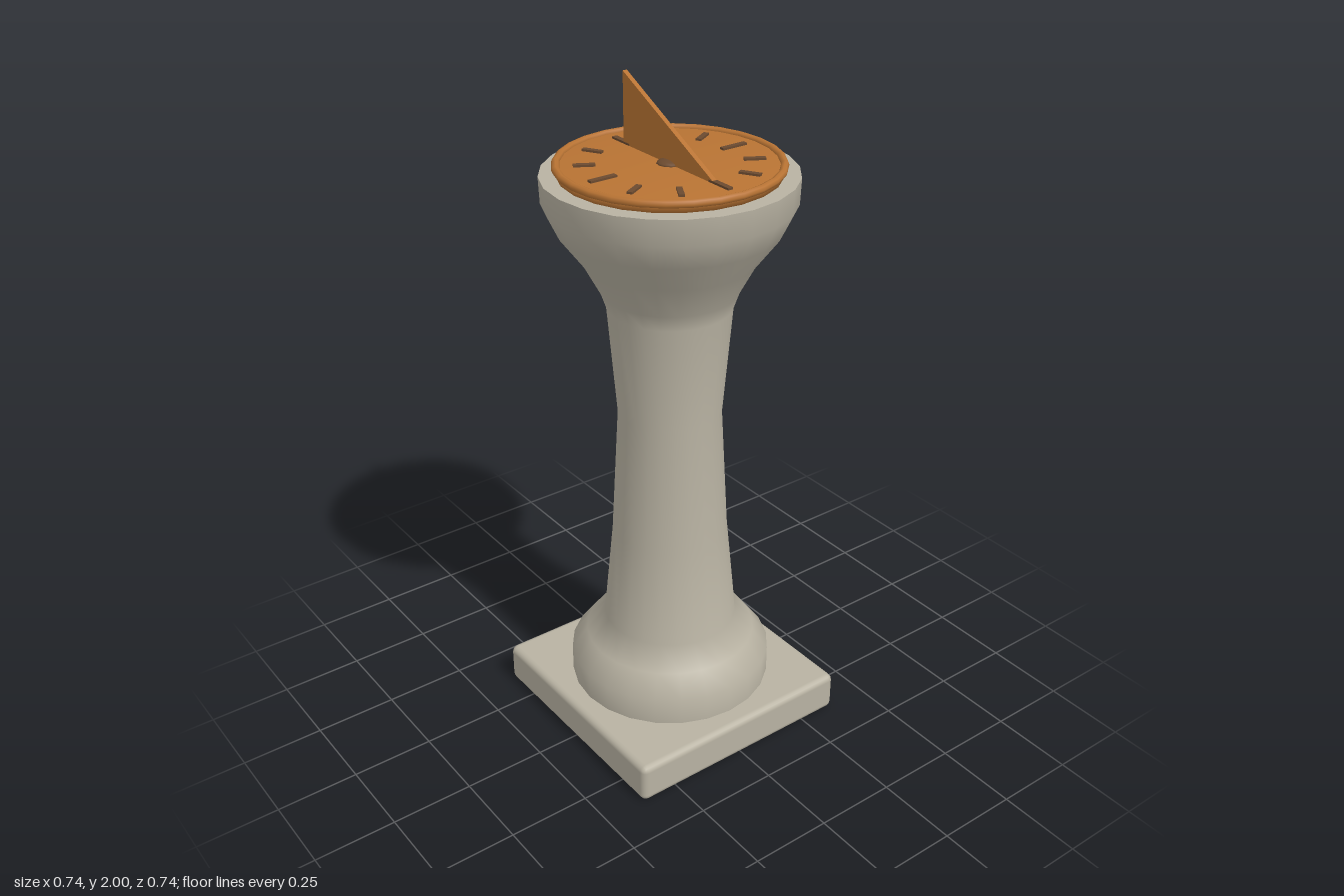
import * as THREE from 'three';
import { RoundedBoxGeometry } from 'three/addons/geometries/RoundedBoxGeometry.js';

const stone = new THREE.MeshStandardMaterial({ color: 0xb8b2a2 });
const copper = new THREE.MeshStandardMaterial({ color: 0xb87333 });
const bronze = new THREE.MeshStandardMaterial({ color: 0x6b4a2f });

export function createModel() {
  const group = new THREE.Group();
  group.name = 'sundial';

  const add = (name, geometry, material, x = 0, y = 0, z = 0) => {
    const mesh = new THREE.Mesh(geometry, material);
    mesh.name = name;
    mesh.position.set(x, y, z);
    group.add(mesh);
    return mesh;
  };
  const lathe = (points, segments) =>
    new THREE.LatheGeometry(points.map(([r, y]) => new THREE.Vector2(r, y)), segments);

  // Square base slab with softened edges
  add('plinth', new RoundedBoxGeometry(0.744, 0.125, 0.744, 2, 0.02), stone, 0, 0.0625, 0);

  // Waisted column with a flared foot and bowl-shaped capital
  add('column', lathe([
    [0.31, 0.12], [0.31, 0.21], [0.262, 0.275], [0.205, 0.34],
    [0.175, 0.65], [0.153, 1.05], [0.18, 1.38], [0.197, 1.43],
    [0.25, 1.53], [0.317, 1.62], [0.352, 1.695], [0.355, 1.77],
  ], 24), stone);
  const top = add('columnTop', new THREE.CircleGeometry(0.355, 24), stone, 0, 1.77, 0);
  top.rotation.set(-Math.PI / 2, 0, Math.PI / 2);

  // Dial plate, softly shaded towards its edge, and its raised rim
  add('dialPlate', lathe([[0, 1.768], [0.308, 1.768], [0.308, 1.795], [0, 1.795]], 24), copper);
  const rim = add('dialRim', new THREE.TorusGeometry(0.308, 0.0115, 8, 28), copper, 0, 1.794, 0);
  rim.rotation.x = Math.PI / 2;

  // Twelve hour marks, longer at the quarters
  for (let i = 0; i < 12; i++) {
    const angle = (i * Math.PI) / 6;
    const length = i % 3 === 0 ? 0.083 : 0.06;
    const r = 0.26 - length / 2;
    const mark = add('hourMark', new THREE.BoxGeometry(0.016, 0.008, length), bronze,
      Math.sin(angle) * r, 1.797, Math.cos(angle) * r);
    mark.rotation.y = angle;
  }

  // Low boss at the centre of the dial
  const boss = add('centreBoss', new THREE.SphereGeometry(0.037, 12, 8), bronze, 0, 1.795, 0);
  boss.scale.y = 0.3;

  // Upright triangular gnomon, tall at the back
  const profile = new THREE.Shape([
    new THREE.Vector2(-0.205, 1.795),
    new THREE.Vector2(0.205, 1.795),
    new THREE.Vector2(0.205, 2.0),
  ]);
  const blade = new THREE.ExtrudeGeometry(profile, { depth: 0.014, bevelEnabled: false });
  blade.translate(0, 0, -0.007);
  add('gnomon', blade, copper).rotation.y = Math.PI / 2;

  return group;
}
